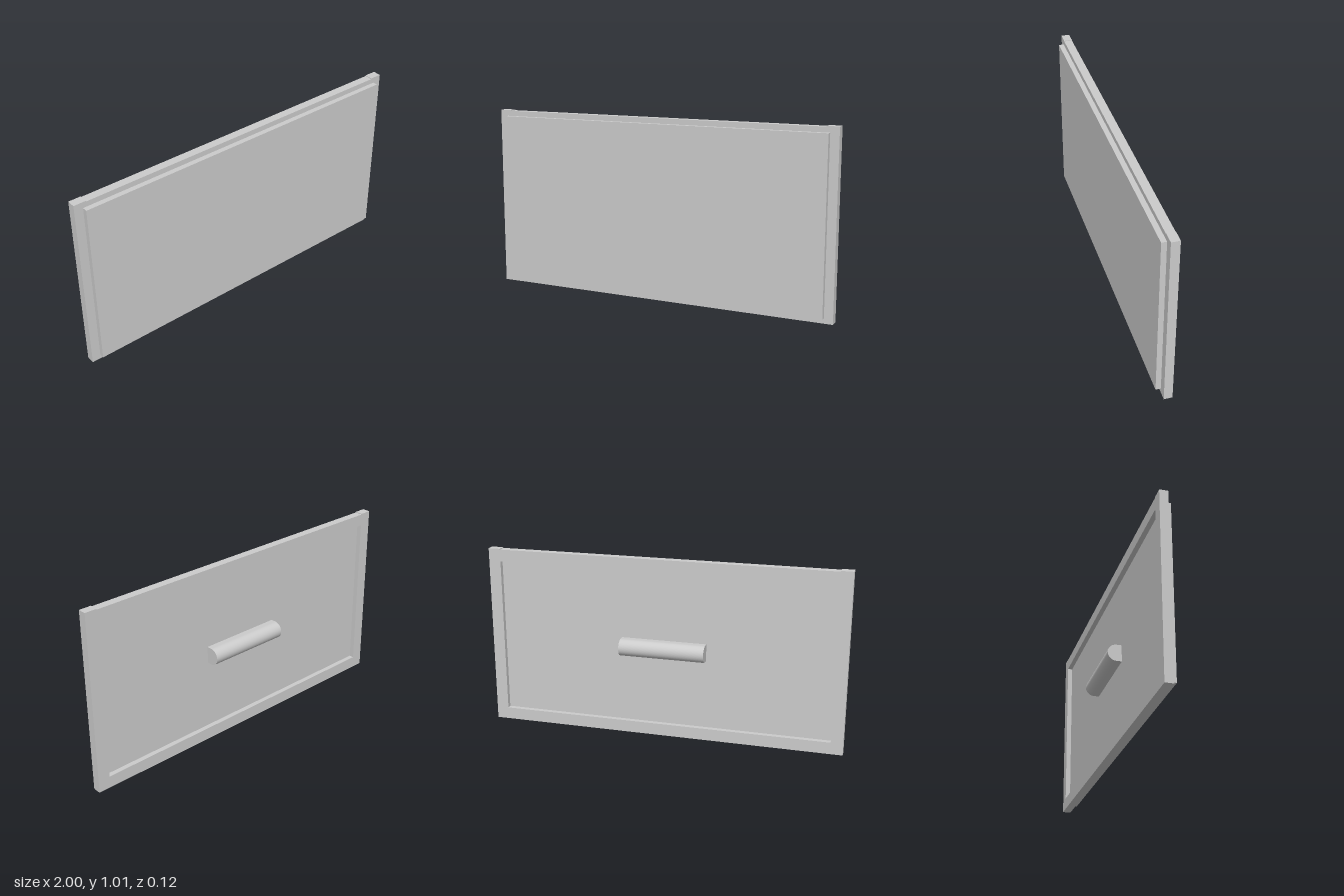
import * as THREE from 'three';

export function createModel() {
  const group = new THREE.Group();
  const material = new THREE.MeshStandardMaterial({ color: 0xcccccc });

  // Box given by its min and max corners
  function addBox(name, [x0, y0, z0], [x1, y1, z1]) {
    const mesh = new THREE.Mesh(new THREE.BoxGeometry(x1 - x0, y1 - y0, z1 - z0), material);
    mesh.position.set((x0 + x1) / 2, (y0 + y1) / 2, (z0 + z1) / 2);
    mesh.name = name;
    group.add(mesh);
  }

  const back = -0.012, front = 0.034; // frame depth
  const inner = 0.933;                // half width of the frame opening
  const recess = 0.015;               // back face of the panel

  // Frame: two upright stiles, slightly taller than the rails between them
  addBox('leftStile', [inner, 0, back], [1, 1.01, front]);
  addBox('rightStile', [-1, 0, back], [-inner, 1.01, front]);
  addBox('topRail', [-inner, 0.94, back], [inner, 1.006, front]);
  addBox('bottomRail', [-inner, 0, back], [inner, 0.067, front]);

  // Raised front panel, set into the frame so the back is recessed
  addBox('panel', [-0.952, 0.027, recess], [0.952, 0.977, 0.062]);

  // D-shaped handle bar on the back: flat against the panel, rounded outside
  const radius = 0.047, length = 0.476;
  const profile = new THREE.Shape();
  profile.moveTo(-recess, -radius);
  profile.lineTo(0.014, -radius);
  profile.absarc(0.014, 0, radius, -Math.PI / 2, Math.PI / 2, false);
  profile.lineTo(-recess, radius);
  profile.closePath();
  const handle = new THREE.Mesh(
    new THREE.ExtrudeGeometry(profile, { depth: length, bevelEnabled: false, curveSegments: 32 }),
    material
  );
  handle.name = 'handle';
  handle.rotation.y = Math.PI / 2; // profile x becomes -z, extrusion runs along +x
  handle.position.set(-length / 2, 0.503, 0);
  group.add(handle);

  return group;
}
